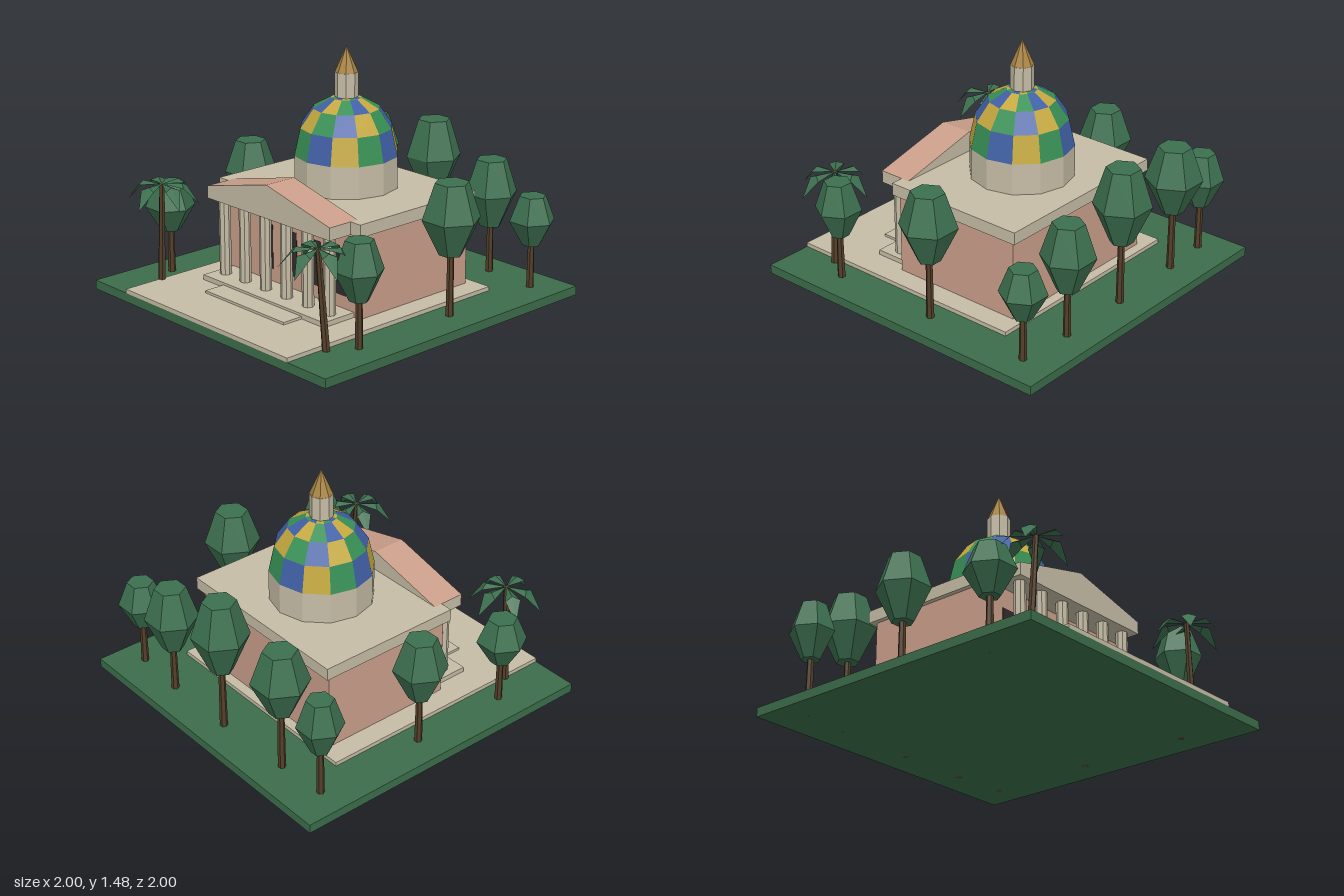
import * as THREE from 'three';

const mat = (name, color, extra = {}) => {
  const m = new THREE.MeshStandardMaterial({ color, flatShading: true, ...extra });
  m.name = name;
  return m;
};

export function createModel() {
  const model = new THREE.Group();
  model.name = 'domedHall';

  const stone = mat('stone', 0xc6bda6);
  const plaster = mat('rosePlaster', 0xcb9f8b);
  const grass = mat('grass', 0x3c6d4a);
  const foliage = mat('foliage', 0x3d7050, { side: THREE.DoubleSide });
  const bark = mat('bark', 0x543f2a);
  const glass = mat('darkGlass', 0x352c30);
  const blue = mat('blueTile', 0x4060a6);
  const gold = mat('yellowTile', 0xc4a840);
  const green = mat('greenTile', 0x389056);
  const spireGold = mat('spireGold', 0xa98443);

  const add = (name, geometry, material, x = 0, y = 0, z = 0, parent = model) => {
    const mesh = new THREE.Mesh(geometry, material);
    mesh.name = name;
    mesh.position.set(x, y, z);
    parent.add(mesh);
    return mesh;
  };
  // Box given by its extents
  const block = (name, material, x0, x1, y0, y1, z0, z1) =>
    add(name, new THREE.BoxGeometry(x1 - x0, y1 - y0, z1 - z0), material,
      (x0 + x1) / 2, (y0 + y1) / 2, (z0 + z1) / 2);

  // Ground, paving and steps
  block('lawn', grass, -1, 1, 0, 0.055, -1, 1);
  block('paving', stone, -0.703, 0.703, 0.055, 0.08, -0.57, 1);
  block('porchFloor', stone, -0.522, 0.522, 0.08, 0.11, 0.34, 0.57);
  block('frontStep', stone, -0.34, 0.34, 0.08, 0.095, 0.57, 0.703);

  // Hall and flat roof
  block('hallWalls', plaster, -0.57, 0.57, 0.08, 0.573, -0.51, 0.341);
  block('roofSlab', stone, -0.6, 0.6, 0.573, 0.648, -0.545, 0.37);
  for (let i = -2; i <= 2; i++)
    block('window', glass, i * 0.205 - 0.047, i * 0.205 + 0.047, 0.185, 0.455, 0.339, 0.343);

  // Portico columns
  for (let i = 0; i < 6; i++)
    add('column', new THREE.CylinderGeometry(0.035, 0.035, 0.463, 8), stone,
      -0.45 + i * 0.18, 0.3415, 0.458);

  // Entablature and pediment with rose roof slopes
  block('entablature', stone, -0.522, 0.522, 0.573, 0.648, 0.317, 0.525);
  const gable = new THREE.Shape([[-0.522, 0.648], [0.522, 0.648], [0, 0.772]]
    .map(([x, y]) => new THREE.Vector2(x, y)));
  add('pediment', new THREE.ExtrudeGeometry(gable, { depth: 0.208, bevelEnabled: false }),
    [stone, plaster], 0, 0, 0.317);

  // Drum, tiled dome, lantern and spire
  const dome = new THREE.Group();
  dome.name = 'dome';
  dome.position.z = -0.09;
  model.add(dome);
  add('drum', new THREE.CylinderGeometry(0.308, 0.308, 0.19, 12), stone, 0, 0.743, 0, dome);
  add('domeTiles', tileGeometry([[0.308, 0.838], [0.272, 1.0], [0.196, 1.112], [0.09, 1.172], [0.04, 1.182]], 12),
    [blue, gold, green], 0, 0, 0, dome);
  add('lantern', new THREE.CylinderGeometry(0.069, 0.069, 0.16, 8), stone, 0, 1.24, 0, dome);
  add('spire', new THREE.ConeGeometry(0.067, 0.155, 8), spireGold, 0, 1.3975, 0, dome);

  // Trees: x, z, canopy radius, canopy bottom, top
  const trees = [
    [-0.82, -0.777, 0.136, 0.34, 0.68], [-0.51, -0.8, 0.17, 0.43, 0.84],
    [0, -0.82, 0.17, 0.445, 0.905], [0.475, -0.82, 0.159, 0.345, 0.755],
    [0.82, -0.795, 0.137, 0.317, 0.615], [-0.82, -0.06, 0.16, 0.36, 0.75],
    [0.82, -0.115, 0.17, 0.42, 0.84], [-0.82, 0.57, 0.149, 0.32, 0.615],
    [0.82, 0.588, 0.139, 0.33, 0.672],
  ];
  for (const [x, z, r, base, top] of trees) {
    const tree = new THREE.Group();
    tree.name = 'tree';
    tree.position.set(x, 0, z);
    tree.rotation.y = Math.PI / 6;
    model.add(tree);
    const h = top - base;
    const profile = [[0, 0], [0.4 * r, 0], [r, 0.5 * h], [0.58 * r, h], [0, h]]
      .map(([a, b]) => new THREE.Vector2(a, b));
    add('canopy', new THREE.LatheGeometry(profile, 6), foliage, 0, base, 0, tree);
    add('trunk', new THREE.CylinderGeometry(0.019, 0.024, base + 0.02, 6), bark, 0, base / 2 + 0.01, 0, tree);
  }

  // Palms: leaning trunk and drooping fronds at the given headings in degrees
  const palm = (foot, crown, headings) => {
    const group = new THREE.Group();
    group.name = 'palm';
    model.add(group);
    const dir = crown.clone().sub(foot);
    const trunk = add('palmTrunk', new THREE.CylinderGeometry(0.016, 0.023, dir.length(), 6), bark, 0, 0, 0, group);
    trunk.position.copy(foot).addScaledVector(dir, 0.5);
    trunk.quaternion.setFromUnitVectors(new THREE.Vector3(0, 1, 0), dir.normalize());
    const frond = frondGeometry();
    for (const heading of headings) {
      const leaf = add('frond', frond, foliage, crown.x, crown.y, crown.z, group);
      leaf.rotation.y = -THREE.MathUtils.degToRad(heading);
    }
  };
  palm(new THREE.Vector3(-0.7, 0.05, 0.74), new THREE.Vector3(-0.66, 0.676, 0.75), [11, 76, 155, 208, 270, 321]);
  palm(new THREE.Vector3(0.725, 0.05, 0.74), new THREE.Vector3(0.68, 0.626, 0.755), [15, 77, 139, 201, 258, 316]);

  return model;
}

// Faceted dome whose tiles cycle through three materials, shifted per row
function tileGeometry(rings, sides) {
  const geometry = new THREE.BufferGeometry();
  const pos = [];
  const point = (j, i) => {
    const a = (i / sides) * Math.PI * 2;
    return [Math.sin(a) * rings[j][0], rings[j][1], Math.cos(a) * rings[j][0]];
  };
  for (let j = 0; j < rings.length - 1; j++)
    for (let i = 0; i < sides; i++) {
      const a = point(j, i), b = point(j, i + 1), c = point(j + 1, i + 1), d = point(j + 1, i);
      geometry.addGroup(pos.length / 3, 6, (i - j + sides) % 3);
      pos.push(...a, ...b, ...c, ...a, ...c, ...d);
    }
  geometry.setAttribute('position', new THREE.Float32BufferAttribute(pos, 3));
  geometry.computeVertexNormals();
  return geometry;
}

// One frond along +x: level inner blade with a slight ridge, then a drooping tip
function frondGeometry() {
  const root = [0, 0, 0], ridge = [0.12, 0.008, 0], tip = [0.22, -0.115, 0];
  const left = [0.135, -0.012, -0.045], right = [0.135, -0.012, 0.045];
  const tris = [root, right, ridge, root, ridge, left, ridge, right, tip, ridge, tip, left];
  const geometry = new THREE.BufferGeometry();
  geometry.setAttribute('position', new THREE.Float32BufferAttribute(tris.flat(), 3));
  geometry.computeVertexNormals();
  return geometry;
}
